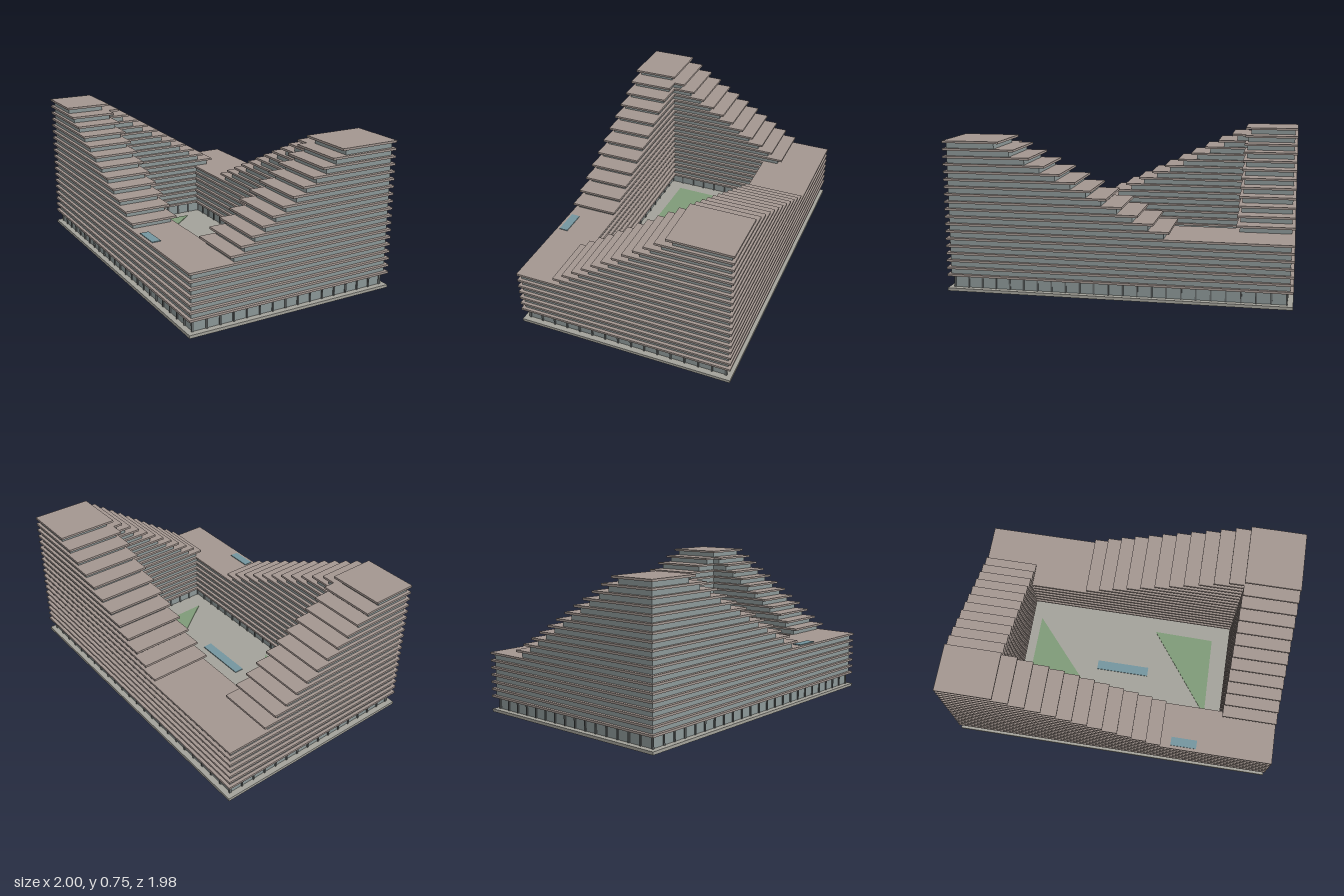
import * as THREE from 'three';

const L = 0.85, W = 0.556;            // half length and half width of the site
const SHORT = 0.285;                  // width of both short wings
const WING_A = 0.24, WING_C = 0.316;  // widths of the two long wings
const PITCH = 0.0371, SLAB = 0.011, FIRST = 0.087, LOW = 6, TOP = 18;
const BASE = 0.015;

const mat = (color) => new THREE.MeshStandardMaterial({ color });
const slabMat = mat(0xa39690), glassMat = mat(0x8c9797), floorMat = mat(0xa3a29a);
const finMat = mat(0x666b6b), lawnMat = mat(0x7f9a78), waterMat = mat(0x74959e);

const points = (list) => list.map(([x, y]) => new THREE.Vector2(x, y));

// Extrude a plan shape upward from height y; plan y points to -z
function plate(name, shape, y, height, material) {
  const geo = new THREE.ExtrudeGeometry(shape, { depth: height, bevelEnabled: false });
  geo.rotateX(-Math.PI / 2);
  const mesh = new THREE.Mesh(geo, material);
  mesh.position.y = y;
  mesh.name = name;
  return mesh;
}

function box(name, w, h, d, x, y, z, material) {
  const mesh = new THREE.Mesh(new THREE.BoxGeometry(w, h, d), material);
  mesh.position.set(x, y, z);
  mesh.name = name;
  return mesh;
}

const rectangle = (x0, y0, x1, y1) => points([[x0, y0], [x1, y0], [x1, y1], [x0, y1]]);

// Ring around the courtyard, drawn in by an inset on both faces
function ringShape(i) {
  const shape = new THREE.Shape(rectangle(-L + i, -W + i, L - i, W - i));
  shape.holes.push(new THREE.Path(
    rectangle(-L + SHORT - i, -W + WING_A - i, L - SHORT + i, W - WING_C + i)));
  return shape;
}

// L-shaped terrace floor from a tower corner: a runs along the long wing, b along the short wing
function terraceShape(a, b, wing, i, end) {
  const list = [[i, i], [a - end, i], [a - end, wing - i]];
  if (a > SHORT + 0.01) list.push([SHORT - i, wing - i]);
  if (b > wing + 0.01) list.push([a > SHORT + 0.01 ? SHORT - i : a - end, b - end]);
  else list.pop();
  if (b <= wing + 0.01) list.push([a - end, wing - end]);
  list.push([i, b - end]);
  return new THREE.Shape(points(list.map(([x, y]) => [x - L, y - W])));
}

const slabY = (k) => FIRST + k * PITCH - SLAB;

// Stepped wings climbing to a tower at one corner
function steppedTower(name, wing) {
  const group = new THREE.Group();
  group.name = name;
  for (let k = LOW + 1; k <= TOP; k++) {
    const t = (TOP - k) / (TOP - LOW - 1);
    const a = SHORT + t * (1.115 - SHORT), b = wing + t * (0.908 - wing);
    group.add(plate('terraceSlab', terraceShape(a, b, wing, 0, 0), slabY(k), SLAB, slabMat));
    group.add(plate('terraceGlazing', terraceShape(a, b, wing, 0.016, 0.028),
      slabY(k - 1) + SLAB, PITCH - SLAB, glassMat));
  }
  return group;
}

// Vertical fins along all four sides of a rectangle
function fins(name, x0, z0, x1, z1) {
  const group = new THREE.Group();
  group.name = name;
  const h = slabY(0) - BASE, y = BASE + h / 2;
  const nx = Math.round((x1 - x0) / 0.07), nz = Math.round((z1 - z0) / 0.07);
  for (let i = 0; i <= nx; i++) {
    const x = x0 + (x1 - x0) * i / nx;
    for (const z of [z0, z1]) group.add(box('fin', 0.008, h, 0.012, x, y, z, finMat));
  }
  for (let i = 1; i < nz; i++) {
    const z = z0 + (z1 - z0) * i / nz;
    for (const x of [x0, x1]) group.add(box('fin', 0.012, h, 0.008, x, y, z, finMat));
  }
  return group;
}

export function createModel() {
  const model = new THREE.Group();
  model.name = 'terracedCourtyardBuilding';
  const building = new THREE.Group();
  building.name = 'building';
  building.rotation.y = -Math.atan2(0.688, 0.726);
  model.add(building);

  // Ground plate
  building.add(box('groundPlate', 2 * L, BASE, 2 * W, 0, BASE / 2, 0, floorMat));

  // Recessed ground storey
  const g = 0.03;
  building.add(plate('groundGlazing', ringShape(g), BASE, slabY(0) - BASE, glassMat));
  building.add(fins('outerFins', -L + g, -W + g, L - g, W - g));
  building.add(fins('courtyardFins', -L + SHORT - g, -W + WING_C - g,
    L - SHORT + g, W - WING_A + g));

  // Full storeys around the courtyard
  for (let k = 0; k <= LOW; k++) {
    building.add(plate('ringSlab', ringShape(0), slabY(k), SLAB, slabMat));
    if (k > 0) building.add(plate('ringGlazing', ringShape(0.016),
      slabY(k - 1) + SLAB, PITCH - SLAB, glassMat));
  }

  // Two stepped towers at opposite corners
  building.add(steppedTower('rightTower', WING_A));
  const leftTower = steppedTower('leftTower', WING_C);
  leftTower.rotation.y = Math.PI;
  building.add(leftTower);

  // Pools in the courtyard and on the low roof
  building.add(box('courtyardPool', 0.29, 0.005, 0.05, -0.01, BASE + 0.0025, 0.07, waterMat));
  building.add(box('roofPool', 0.135, 0.004, 0.045, 0.385, slabY(LOW) + SLAB + 0.002, 0.517, waterMat));

  // Triangular lawns, plan y = -z
  const lawns = [
    [[-0.57, 0.17], [-0.29, -0.11], [-0.27, 0.48]],
    [[0.23, 0.03], [0.165, -0.53], [0.465, -0.2]],
  ];
  for (const lawn of lawns)
    model.add(plate('lawn', new THREE.Shape(points(lawn)), BASE, 0.004, lawnMat));

  return model;
}
